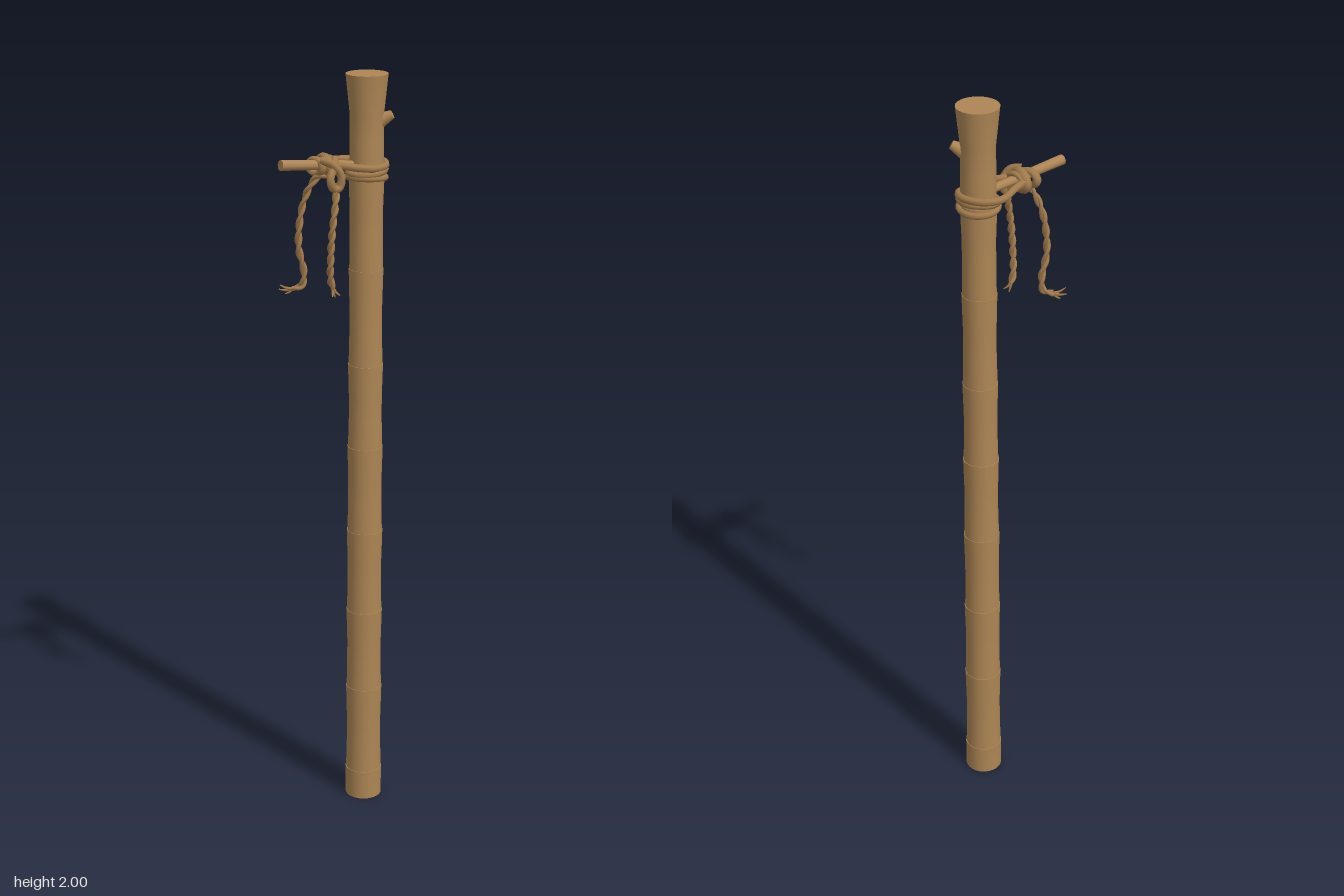
import * as THREE from 'three';

const PX = 0.096; // pole axis

export function createModel() {
  const model = new THREE.Group();
  const bamboo = new THREE.MeshStandardMaterial({ name: 'bamboo', color: 0xae8655 });
  const rope = new THREE.MeshStandardMaterial({ name: 'rope', color: 0xa27b4c });

  const add = (name, geometry, material, parent = model) => {
    const mesh = new THREE.Mesh(geometry, material);
    mesh.name = name;
    parent.add(mesh);
    return mesh;
  };
  const curveOf = (pts, closed = false) =>
    new THREE.CatmullRomCurve3(pts.map((p) => new THREE.Vector3(...p)), closed);

  // Tapered tube with capped ends
  const taperTube = (curve, r0, r1, steps = 24, sides = 6) => {
    const g = new THREE.TubeGeometry(curve, steps, 1, sides, false);
    const pos = g.attributes.position;
    const c = new THREE.Vector3(), v = new THREE.Vector3();
    for (let i = 0; i < pos.count; i++) {
      const t = Math.floor(i / (sides + 1)) / steps;
      curve.getPointAt(t, c);
      v.fromBufferAttribute(pos, i).sub(c).multiplyScalar(r0 + (r1 - r0) * t).add(c);
      pos.setXYZ(i, v.x, v.y, v.z);
    }
    return g;
  };

  // Bamboo pole: slightly waisted segments with a small step at each node
  const pole = new THREE.Group();
  pole.name = 'pole';
  pole.position.set(PX, 0, 0.001);
  model.add(pole);
  const nodes = [0, 0.082, 0.33, 0.557, 0.788, 1.024, 1.25, 1.504, 1.75, 2];
  const radii = [0.050, 0.049, 0.048, 0.0475, 0.047, 0.046, 0.045, 0.044, 0.045, 0.053];
  for (let i = 0; i < nodes.length - 1; i++) {
    const [y0, y1, r0, r1] = [nodes[i], nodes[i + 1], radii[i], radii[i + 1]];
    const waist = Math.min(r0, r1) - (i === 0 ? 0 : 0.002);
    const profile = [
      [r0 - 0.001, y0], [waist, y0 + (y1 - y0) * 0.35], [waist, y0 + (y1 - y0) * 0.6], [r1 + 0.0005, y1],
    ].map(([r, y]) => new THREE.Vector2(r, y));
    add('poleSegment', new THREE.LatheGeometry(profile, 24), bamboo, pole);
    const cap = add('segmentEnd', new THREE.CircleGeometry(r1 + 0.0005, 24), bamboo, pole);
    cap.rotation.x = -Math.PI / 2;
    cap.position.y = y1;
  }
  const base = add('poleBase', new THREE.CircleGeometry(0.049, 24), bamboo, pole);
  base.rotation.x = Math.PI / 2;

  // Cut-off shoot near the top
  const stub = add('shootStub', new THREE.CylinderGeometry(0.011, 0.019, 0.032, 10), bamboo);
  stub.position.set(0.135, 1.892, 0.031);
  stub.quaternion.setFromUnitVectors(new THREE.Vector3(0, 1, 0), new THREE.Vector3(0.72, 0.5, 0.6).normalize());

  // Side branch
  const from = new THREE.Vector3(0.07, 1.774, 0.001), to = new THREE.Vector3(-0.154, 1.797, 0.003);
  const dir = to.clone().sub(from);
  const branch = add('branch', new THREE.CylinderGeometry(0.0135, 0.011, dir.length(), 8), bamboo);
  branch.position.copy(from).add(to).multiplyScalar(0.5);
  branch.quaternion.setFromUnitVectors(new THREE.Vector3(0, 1, 0), dir.normalize());

  // Rope loop running from the knot around the pole
  const loop = curveOf([
    [-0.025, 1.79, -0.03], [0.02, 1.785, -0.045], [0.07, 1.777, -0.063], [0.118, 1.777, -0.05],
    [0.145, 1.777, -0.005], [0.128, 1.772, 0.038], [0.09, 1.77, 0.049], [0.04, 1.777, 0.043],
    [0, 1.783, 0.022], [-0.03, 1.785, 0.025],
  ]);
  add('poleLoop', new THREE.TubeGeometry(loop, 60, 0.0095, 7), rope);

  // Tight turns below it
  [[1.758, 0.05, 0.12], [1.741, -0.06, -0.06]].forEach(([y, tilt, roll]) => {
    const turn = add('poleTurn', new THREE.TorusGeometry(0.0475, 0.0085, 7, 32), rope);
    turn.position.set(PX, y, 0.001);
    turn.rotation.set(Math.PI / 2 + tilt, roll, 0);
  });

  // Knot: turns around the branch and a crossing bight in front
  [[-0.047, 0.025, 0.2, 0.011], [-0.022, 0.032, -0.15, 0.012], [-0.008, 0.027, 0.1, 0.009]].forEach(([x, r, yaw, t]) => {
    const turn = add('knotTurn', new THREE.TorusGeometry(r, t, 7, 20), rope);
    turn.rotation.y = Math.PI / 2 + yaw;
    turn.position.set(x, 1.781, -0.008);
    turn.scale.y = 0.72;
  });
  const bight = curveOf([
    [-0.045, 1.8, 0.015], [-0.025, 1.79, 0.042], [-0.008, 1.76, 0.05], [-0.014, 1.733, 0.048],
    [-0.032, 1.735, 0.05], [-0.04, 1.76, 0.05], [-0.02, 1.783, 0.035], [-0.005, 1.80, 0.012],
  ]);
  add('knotBight', new THREE.TubeGeometry(bight, 40, 0.0105, 7), rope);

  // Hanging rope: two twisted yarns with a frayed end
  const hangingRope = (pts, frays) => {
    const group = new THREE.Group();
    group.name = 'hangingRope';
    model.add(group);
    const core = curveOf(pts);
    const n = 44, frames = core.computeFrenetFrames(n, false);
    for (const phase of [0, Math.PI]) {
      const yarn = [];
      for (let i = 0; i <= n; i++) {
        const a = phase + i * 0.62;
        yarn.push(core.getPointAt(i / n)
          .addScaledVector(frames.normals[i], Math.cos(a) * 0.0045)
          .addScaledVector(frames.binormals[i], Math.sin(a) * 0.0045));
      }
      add('yarn', new THREE.TubeGeometry(new THREE.CatmullRomCurve3(yarn), 100, 0.0055, 6), rope, group);
    }
    const end = core.getPointAt(1);
    frays.forEach((f) => {
      const tip = end.clone().add(new THREE.Vector3(...f));
      const mid = end.clone().lerp(tip, 0.5).add(new THREE.Vector3(0, -0.003, 0));
      add('fray', taperTube(new THREE.CatmullRomCurve3([end, mid, tip]), 0.005, 0.0015, 6, 5), rope, group);
    });
  };
  hangingRope(
    [[-0.025, 1.765, 0.02], [-0.052, 1.752, 0], [-0.075, 1.69, -0.022], [-0.085, 1.58, -0.03],
      [-0.07, 1.51, -0.03], [-0.074, 1.475, -0.033], [-0.095, 1.466, -0.045]],
    [[-0.03, 0.012, -0.012], [-0.028, -0.002, -0.02], [-0.014, -0.014, -0.012]],
  );
  hangingRope(
    [[-0.015, 1.745, 0.04], [-0.026, 1.71, 0.054], [-0.04, 1.63, 0.06], [-0.042, 1.55, 0.054],
      [-0.036, 1.5, 0.045], [-0.028, 1.478, 0.043]],
    [[0.014, -0.018, 0.012], [0.006, -0.024, 0], [-0.01, -0.018, 0.014]],
  );

  return model;
}
